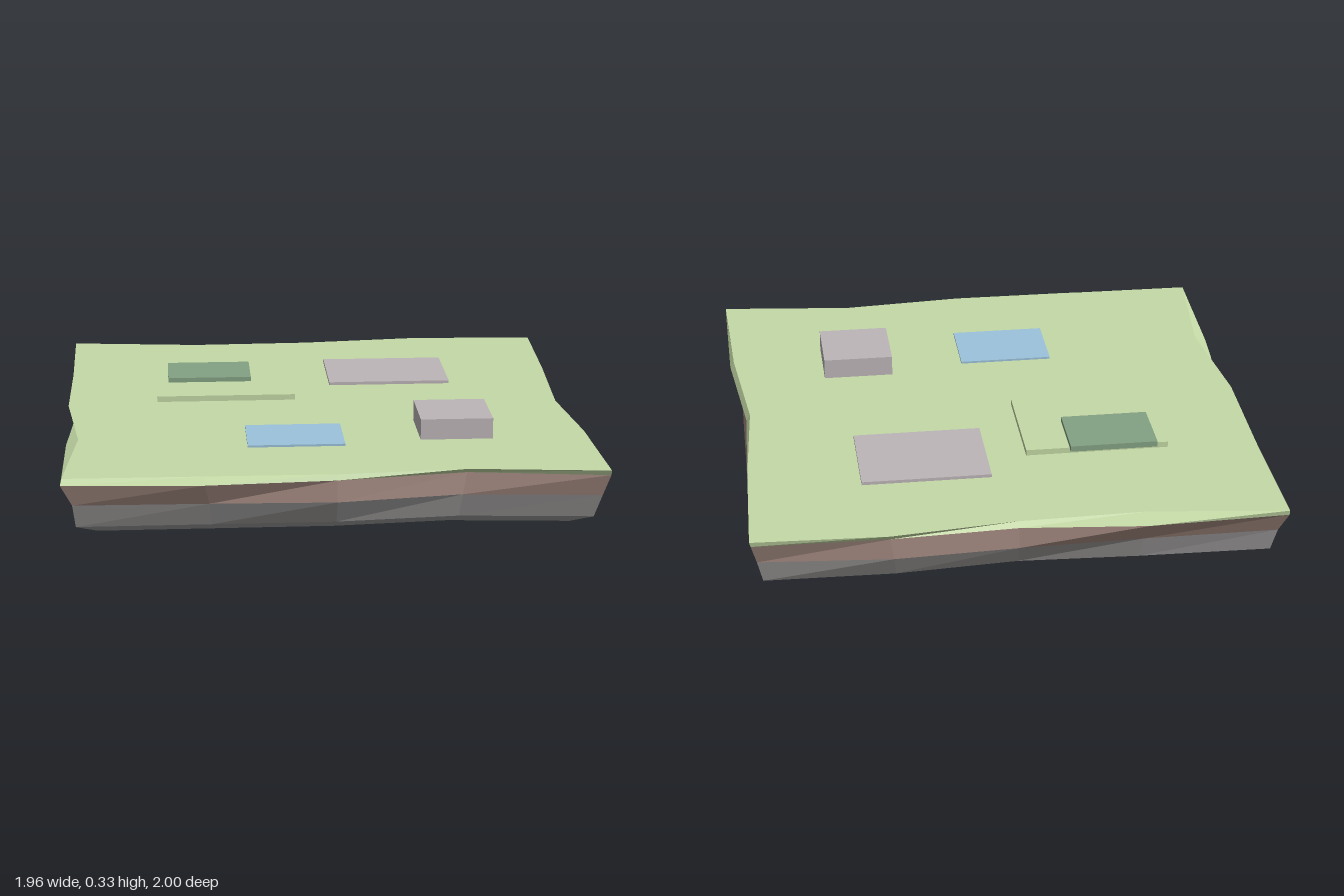
import * as THREE from 'three';

const mat = (name, color) => {
  const m = new THREE.MeshStandardMaterial({ color, flatShading: true });
  m.name = name;
  return m;
};

// Closed 16-point outline: edge distances for each side, read left-to-right or back-to-front
function ring(y, { front, back, left, right }) {
  const pts = [];
  const along = (i, a, b) => (i === 0 ? -a : i === 4 ? b : (i - 2) * 0.24 * (a + b) / 2 * 2);
  for (let i = 0; i < 4; i++) pts.push([along(i, left[4], right[4]), y, front[i]]);
  for (let i = 4; i > 0; i--) pts.push([right[i], y, along(i, back[4], front[4])]);
  for (let i = 4; i > 0; i--) pts.push([along(i, left[0], right[0]), y, -back[i]]);
  for (let i = 0; i < 4; i++) pts.push([-left[i], y, along(i, back[0], front[0])]);
  return pts;
}

const scaled = (pts, s, y) => pts.map(p => [p[0] * s, y, p[2] * s]);

// Skin between stacked outlines, with optional flat caps
function skin(name, material, rings, capTop, capBottom) {
  const pos = [];
  const tri = (...p) => p.forEach(q => pos.push(...q));
  for (let k = 0; k + 1 < rings.length; k++) {
    const lo = rings[k], hi = rings[k + 1];
    lo.forEach((p, i) => {
      const j = (i + 1) % lo.length;
      tri(p, lo[j], hi[j]);
      tri(p, hi[j], hi[i]);
    });
  }
  const cap = (r, up) => r.forEach((p, i) => {
    const n = r[(i + 1) % r.length], c = [0, p[1], 0];
    up ? tri(c, p, n) : tri(c, n, p);
  });
  if (capTop) cap(rings[rings.length - 1], true);
  if (capBottom) cap(rings[0], false);
  const g = new THREE.BufferGeometry();
  g.setAttribute('position', new THREE.Float32BufferAttribute(pos, 3));
  g.computeVertexNormals();
  const mesh = new THREE.Mesh(g, material);
  mesh.name = name;
  return mesh;
}

// Box given by its bounds
function block(name, material, x0, x1, y0, y1, z0, z1) {
  const mesh = new THREE.Mesh(new THREE.BoxGeometry(x1 - x0, y1 - y0, z1 - z0), material);
  mesh.position.set((x0 + x1) / 2, (y0 + y1) / 2, (z0 + z1) / 2);
  mesh.name = name;
  return mesh;
}

export function createModel() {
  const grass = mat('grass', 0xc4d9a6);
  const dirt = mat('dirt', 0xa1887f);
  const rock = mat('rock', 0x9e9c9b);
  const stone = mat('paleStone', 0xbdb6b9);
  const water = mat('water', 0x9cc3db);
  const hedge = mat('darkGreen', 0x84a284);

  // Wavy outlines of the slab, from the lawn downwards
  const lawnTop = ring(0.25, {
    front: [0.95, 0.955, 0.96, 0.925, 0.98], back: [0.99, 0.93, 0.94, 0.99, 0.97],
    left: [0.98, 0.975, 0.98, 0.93, 0.975], right: [0.965, 0.95, 0.92, 0.965, 0.98],
  });
  const lawnBase = ring(0.23, {
    front: [0.97, 1.0, 0.97, 0.9, 0.97], back: [0.985, 1.0, 0.955, 0.975, 0.965],
    left: [0.98, 0.96, 0.945, 0.975, 0.98], right: [0.96, 0.945, 0.935, 0.98, 0.98],
  });
  const dirtBase = ring(0.15, {
    front: [0.95, 0.96, 0.975, 0.91, 0.95], back: [0.95, 0.95, 0.96, 0.98, 0.94],
    left: [0.95, 0.95, 0.95, 0.975, 0.94], right: [0.94, 0.95, 0.945, 0.94, 0.955],
  });
  const rockBase = ring(0.06, {
    front: [0.92, 0.92, 0.92, 0.88, 0.92], back: [0.93, 0.92, 0.9, 0.93, 0.92],
    left: [0.93, 0.92, 0.91, 0.92, 0.93], right: [0.92, 0.91, 0.9, 0.92, 0.93],
  });

  const model = new THREE.Group();
  model.name = 'gardenIsland';
  model.add(
    skin('lawn', grass, [lawnBase, lawnTop], true, false),
    skin('soilLayer', dirt, [dirtBase, lawnBase], false, false),
    skin('rockBase', rock,
      [scaled(rockBase, 0.78, 0), scaled(rockBase, 0.92, 0.02), rockBase, dirtBase], false, true),
    // Features standing on the lawn
    block('raisedLawn', grass, -0.635, -0.095, 0.245, 0.272, -0.458, -0.035),
    block('hedgeBed', hedge, -0.59, -0.26, 0.268, 0.29, -0.483, -0.242),
    block('pavedPatch', stone, 0.055, 0.537, 0.245, 0.262, -0.607, -0.24),
    block('pond', water, -0.305, 0.055, 0.245, 0.258, 0.34, 0.61),
    block('stoneBlock', stone, 0.34, 0.61, 0.245, 0.328, 0.28, 0.55),
  );
  return model;
}
